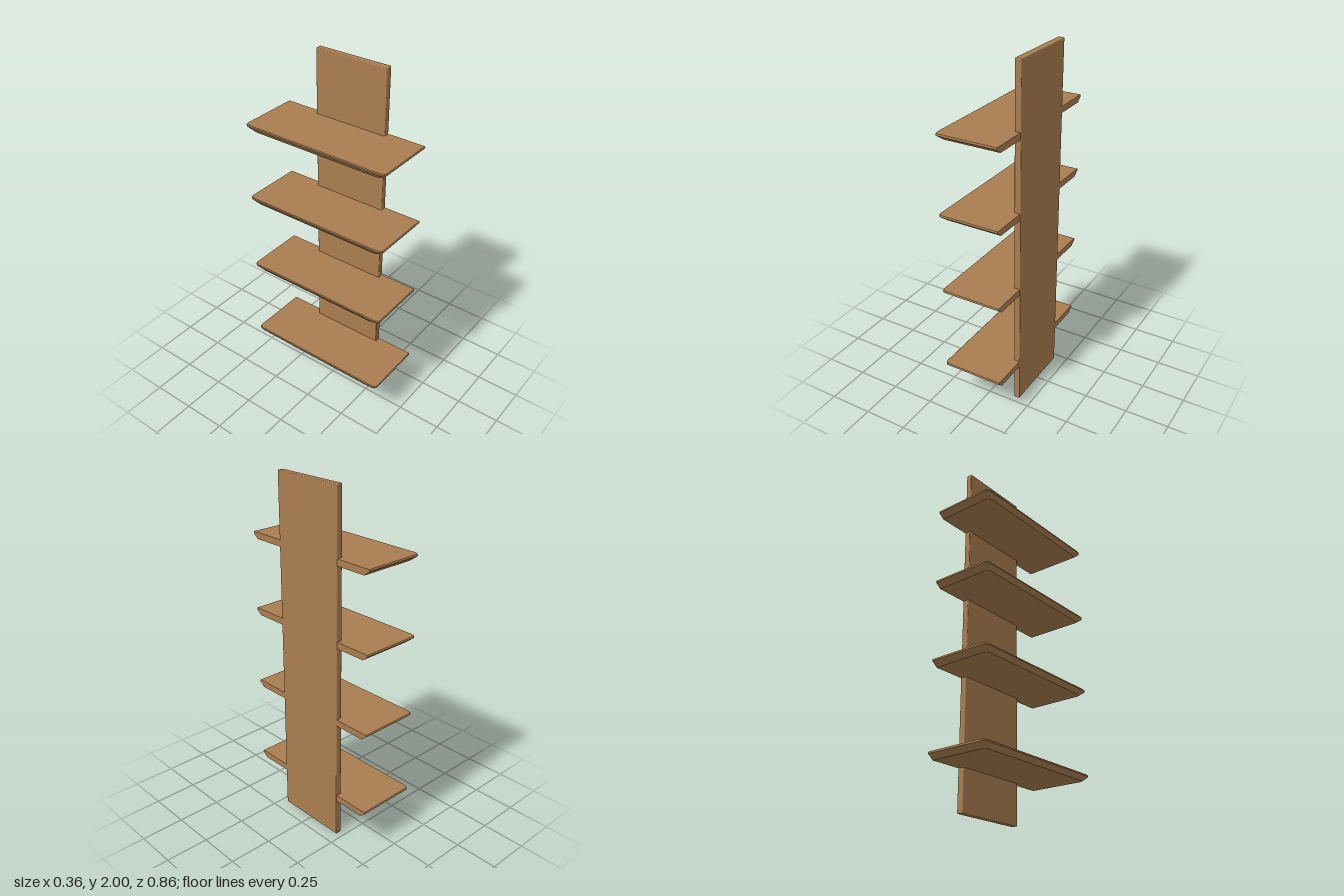
import * as THREE from 'three';
import { RoundedBoxGeometry } from 'three/addons/geometries/RoundedBoxGeometry.js';

const BACK = 0.176, FRONT = -0.18, HALF = 0.432;

// Shelf outline seen from above: square at the back, rounded at the two free corners
function outline(insetX, insetZ) {
  const front = FRONT + insetX, half = HALF - insetZ;
  const rx = 0.02, rz = 0.035, steps = 5;
  const points = [[BACK, half], [BACK, -half]];
  for (const side of [-1, 1]) {
    for (let i = 0; i <= steps; i++) {
      const t = (side < 0 ? i : steps - i) / steps * Math.PI / 2;
      points.push([
        front + rx - rx * Math.sin(t),
        side * (half - rz + rz * Math.cos(t)),
      ]);
    }
  }
  return points;
}

// Shelf lofted through a few levels: undercut below, thin upright rim, eased top edge
function shelfGeometry() {
  const levels = [
    [0, 0.02, 0.033],
    [0.026, 0, 0],
    [0.033, 0, 0],
    [0.037, 0.004, 0.002],
  ];
  const positions = [], index = [];
  let n = 0;
  for (const [y, insetX, insetZ] of levels) {
    const ring = outline(insetX, insetZ);
    n = ring.length;
    for (const [x, z] of ring) positions.push(x, y, z);
  }
  for (let i = 0; i < levels.length - 1; i++) {
    for (let j = 0; j < n; j++) {
      const k = (j + 1) % n;
      const a = i * n + j, b = i * n + k, c = b + n, d = a + n;
      index.push(a, b, c, a, c, d);
    }
  }
  const top = (levels.length - 1) * n;
  for (let j = 1; j < n - 1; j++) {
    index.push(top, top + j, top + j + 1);
    index.push(0, j + 1, j);
  }
  const indexed = new THREE.BufferGeometry();
  indexed.setAttribute('position', new THREE.Float32BufferAttribute(positions, 3));
  indexed.setIndex(index);
  const geometry = indexed.toNonIndexed();
  geometry.computeVertexNormals();
  return geometry;
}

export function createModel() {
  const model = new THREE.Group();
  model.name = 'wallShelf';
  const wood = new THREE.MeshStandardMaterial({ color: 0xa97d50 });
  wood.name = 'wood';

  // Upright back board
  const board = new THREE.Mesh(new RoundedBoxGeometry(0.036, 2, 0.43, 2, 0.005), wood);
  board.name = 'backBoard';
  board.position.set(0.16, 1, 0);
  model.add(board);

  // Four shelves
  const geometry = shelfGeometry();
  [0.227, 0.71, 1.163, 1.602].forEach((y, i) => {
    const shelf = new THREE.Mesh(geometry, wood);
    shelf.name = `shelf${i + 1}`;
    shelf.position.y = y;
    model.add(shelf);
  });
  return model;
}
